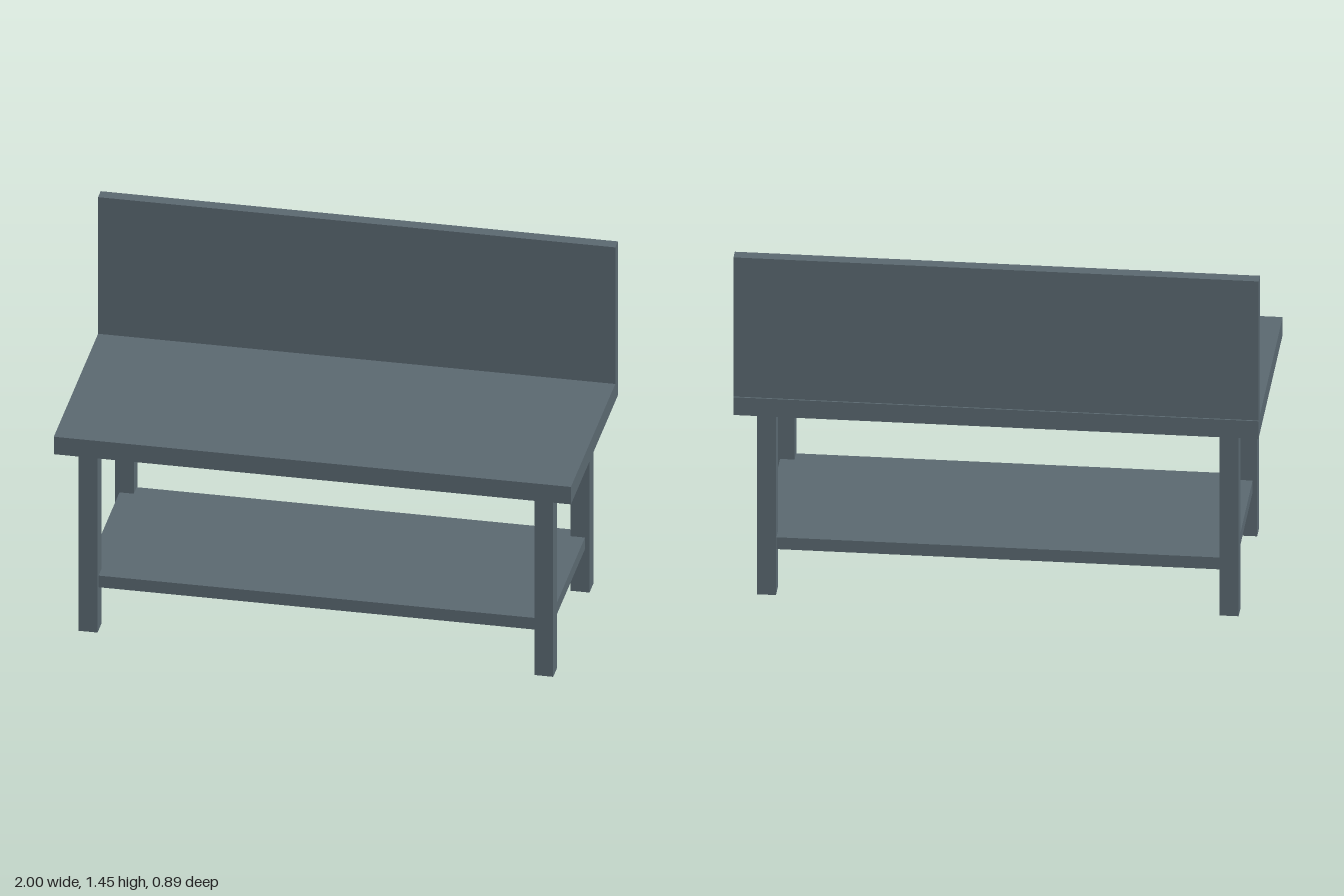
import * as THREE from 'three';

export function createModel() {
  const group = new THREE.Group();
  const slate = new THREE.MeshStandardMaterial({ color: 0x5a6870 });
  slate.name = 'slate grey';

  // Box given by its size, centre x/z and underside height
  const addBox = (name, [w, h, d], x, bottom, z) => {
    const mesh = new THREE.Mesh(new THREE.BoxGeometry(w, h, d), slate);
    mesh.name = name;
    mesh.position.set(x, bottom + h / 2, z);
    group.add(mesh);
  };

  // Worktop and upright back panel, set just inside the rear edge
  addBox('worktop', [2, 0.075, 0.894], 0, 0.787, 0);
  addBox('backPanel', [2, 0.588, 0.049], 0, 0.862, -0.416);

  // Lower shelf, its corners let into the legs
  addBox('lowerShelf', [1.8, 0.05, 0.72], 0, 0.185, 0);

  // Four square legs
  for (const [side, sx] of [['left', 1], ['right', -1]]) {
    for (const [end, sz] of [['Front', 1], ['Back', -1]]) {
      addBox(`${side}${end}Leg`, [0.073, 0.787, 0.073], sx * 0.881, 0, sz * 0.343);
    }
  }

  return group;
}
